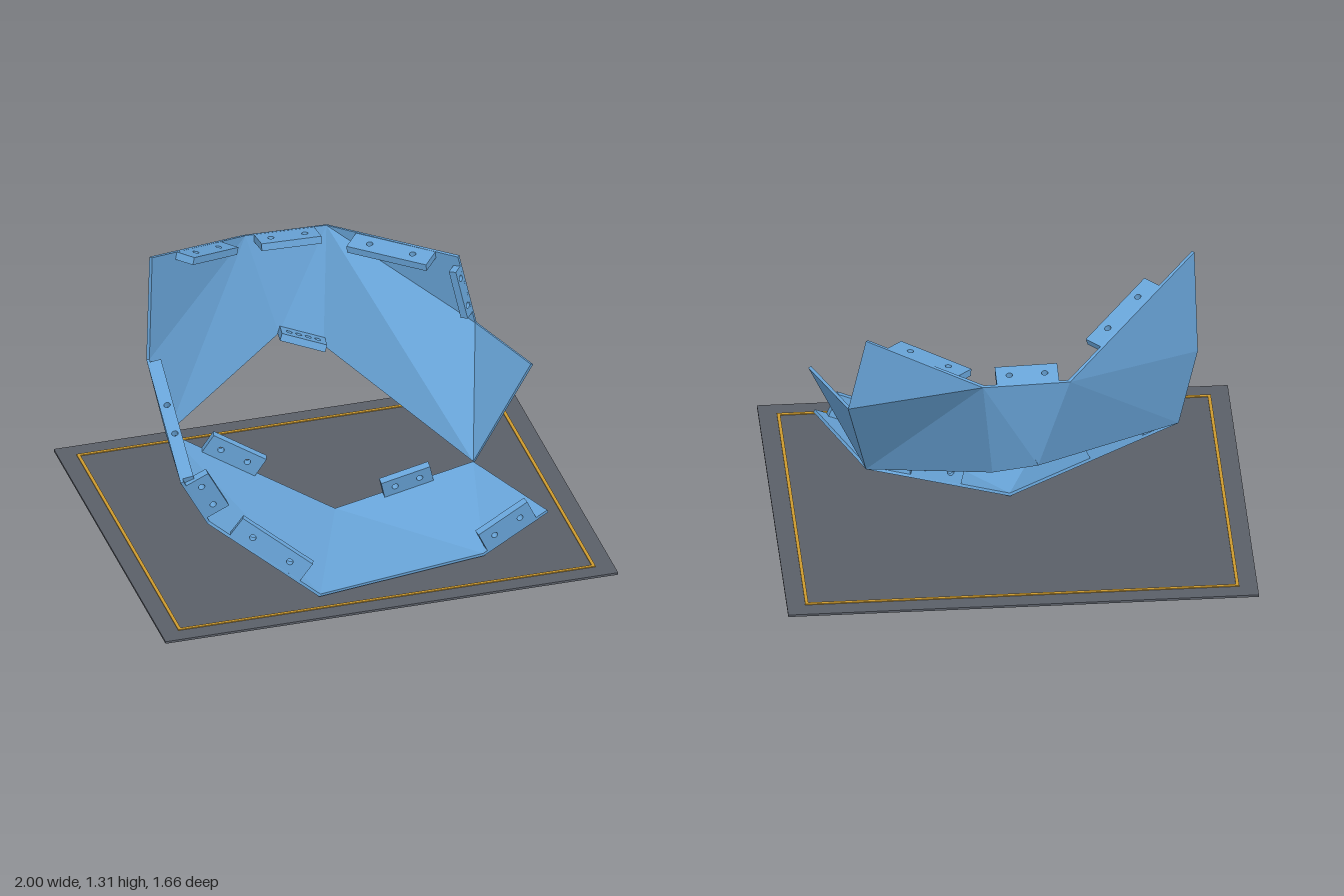
import * as THREE from 'three';

// Corner points of the faceted shell
const P = {
  A: [-0.78, 1.31, -0.15], B: [-0.21, 1.02, -0.675], C: [0.16, 1.01, -0.675], D: [0.625, 1.01, -0.27],
  E: [0.7, 0.67, -0.265], F: [0.84, 0.65, 0.105], G: [0.6, 0.17, 0.04], H: [-0.08, 0.56, -0.6],
  I: [-0.795, 0.81, -0.145], J: [-0.715, 0.44, -0.125], K: [-0.84, 0.585, 0.515], L: [-0.71, 0.34, 0.475],
  M: [-0.275, 0.02, 0.675], N: [0.49, 0.02, 0.55], O: [0.785, 0.165, 0.515], Q: [-0.01, 0.02, 0.015],
  R: [0.11, 0.5, -0.545],
};
for (const k in P) P[k] = new THREE.Vector3(...P[k]);

const FACES = ['ABI', 'IBJ', 'JBH', 'BCH', 'CRH', 'CGR', 'CEG', 'CDE', 'EFG',
  'IJK', 'KJL', 'LJM', 'JQM', 'QNM', 'QGN', 'GON'];
const CENTRE = new THREE.Vector3(-0.05, 0.6, 0.1);
const SHEET = 0.014;

function inwardNormal(a, b, c) {
  const n = b.clone().sub(a).cross(c.clone().sub(a)).normalize();
  return n.dot(CENTRE.clone().sub(a)) < 0 ? n.negate() : n;
}

// Thin folded sheet: outer faces, inner faces and rim walls
function shellGeometry() {
  const faces = FACES.map((f) => {
    const [a, b, c] = [...f];
    const n = P[b].clone().sub(P[a]).cross(P[c].clone().sub(P[a]));
    return n.dot(CENTRE.clone().sub(P[a])) < 0 ? [a, c, b] : [a, b, c];
  });
  const shift = {};
  for (const k in P) shift[k] = new THREE.Vector3();
  for (const f of faces) {
    const n = inwardNormal(...f.map((k) => P[k]));
    f.forEach((k) => shift[k].add(n));
  }
  const inner = {};
  for (const k in P) inner[k] = P[k].clone().addScaledVector(shift[k].normalize(), SHEET);
  const out = [];
  const tri = (...v) => v.forEach((p) => out.push(p.x, p.y, p.z));
  const edges = new Set();
  for (const [a, b, c] of faces) {
    tri(inner[a], inner[b], inner[c]);
    tri(P[a], P[c], P[b]);
    edges.add(a + b).add(b + c).add(c + a);
  }
  for (const [a, b] of edges) {
    if (edges.has(b + a)) continue;
    tri(P[a], P[b], inner[b]);
    tri(P[a], inner[b], inner[a]);
  }
  const g = new THREE.BufferGeometry();
  g.setAttribute('position', new THREE.Float32BufferAttribute(out, 3));
  g.computeVertexNormals();
  return g;
}

// Drilled flange standing inward from a rim edge; third letter is the face's other corner
function flange([a, b, c], t, length, width, holes, spacing, material, name) {
  const w = inwardNormal(P[a], P[b], P[c]);
  const u = P[b].clone().sub(P[a]).normalize();
  const v = u.clone().cross(w);
  if (v.dot(P[c].clone().sub(P[a])) < 0) { u.negate(); v.negate(); }
  const s = new THREE.Shape();
  s.moveTo(-length / 2, 0).lineTo(length / 2, 0).lineTo(length / 2, width).lineTo(-length / 2, width).closePath();
  for (let i = 0; i < holes; i++) {
    const h = new THREE.Path();
    h.absarc((i - (holes - 1) / 2) * spacing, width * 0.55, 0.014, 0, Math.PI * 2, true);
    s.holes.push(h);
  }
  const g = new THREE.ExtrudeGeometry(s, { depth: 0.033, bevelEnabled: false, curveSegments: 10 });
  const mesh = new THREE.Mesh(g, material);
  mesh.name = name;
  const m = new THREE.Matrix4().makeBasis(u, w, v).setPosition(P[a].clone().lerp(P[b], t));
  mesh.applyMatrix4(m);
  return mesh;
}

export function createModel() {
  const blue = new THREE.MeshStandardMaterial({ color: 0x69a5d9 });
  blue.name = 'panel blue';
  const grey = new THREE.MeshStandardMaterial({ color: 0x5a5f68 });
  grey.name = 'base grey';
  const gold = new THREE.MeshStandardMaterial({ color: 0xcc9a2e });
  gold.name = 'border gold';
  const group = new THREE.Group();
  group.name = 'facetedShellOnBase';

  // Base sheet with inlaid border line
  const base = new THREE.Mesh(new THREE.BoxGeometry(2, 0.01, 1.66), grey);
  base.name = 'basePlate';
  base.position.y = 0.005;
  group.add(base);
  const border = new THREE.Group();
  border.name = 'borderLine';
  for (const s of [-1, 1]) {
    const side = new THREE.Mesh(new THREE.BoxGeometry(0.014, 0.005, 1.514), gold);
    side.position.set(s * 0.915, 0.0115, 0);
    const end = new THREE.Mesh(new THREE.BoxGeometry(1.816, 0.005, 0.014), gold);
    end.position.set(0, 0.0115, s * 0.75);
    side.name = 'borderSide';
    end.name = 'borderEnd';
    border.add(side, end);
  }
  group.add(border);

  // Folded panels
  const shell = new THREE.Mesh(shellGeometry(), blue);
  shell.name = 'foldedShell';
  group.add(shell);

  // Joining flanges: edge + face corner, place along edge, length, width, holes, hole spacing
  const flanges = [
    ['ABI', 0.5, 0.39, 0.1, 2, 0.2],
    ['BCH', 0.48, 0.265, 0.125, 2, 0.15],
    ['CDE', 0.53, 0.37, 0.11, 2, 0.2],
    ['DEC', 0.48, 0.24, 0.06, 2, 0.14],
    ['JQM', 0.36, 0.26, 0.11, 2, 0.13],
    ['QGN', 0.52, 0.22, 0.1, 2, 0.11],
    ['HRC', 0.48, 0.2, 0.13, 4, 0.042],
    ['IKJ', 0.5, 0.66, 0.06, 2, 0.16],
    ['KLJ', 0.5, 0.22, 0.12, 2, 0.12],
    ['LMJ', 0.5, 0.36, 0.11, 2, 0.19],
    ['NOG', 0.45, 0.25, 0.12, 2, 0.13],
  ];
  flanges.forEach(([f, t, l, w, n, d], i) => group.add(flange([...f], t, l, w, n, d, blue, `flange${i + 1}`)));
  return group;
}
